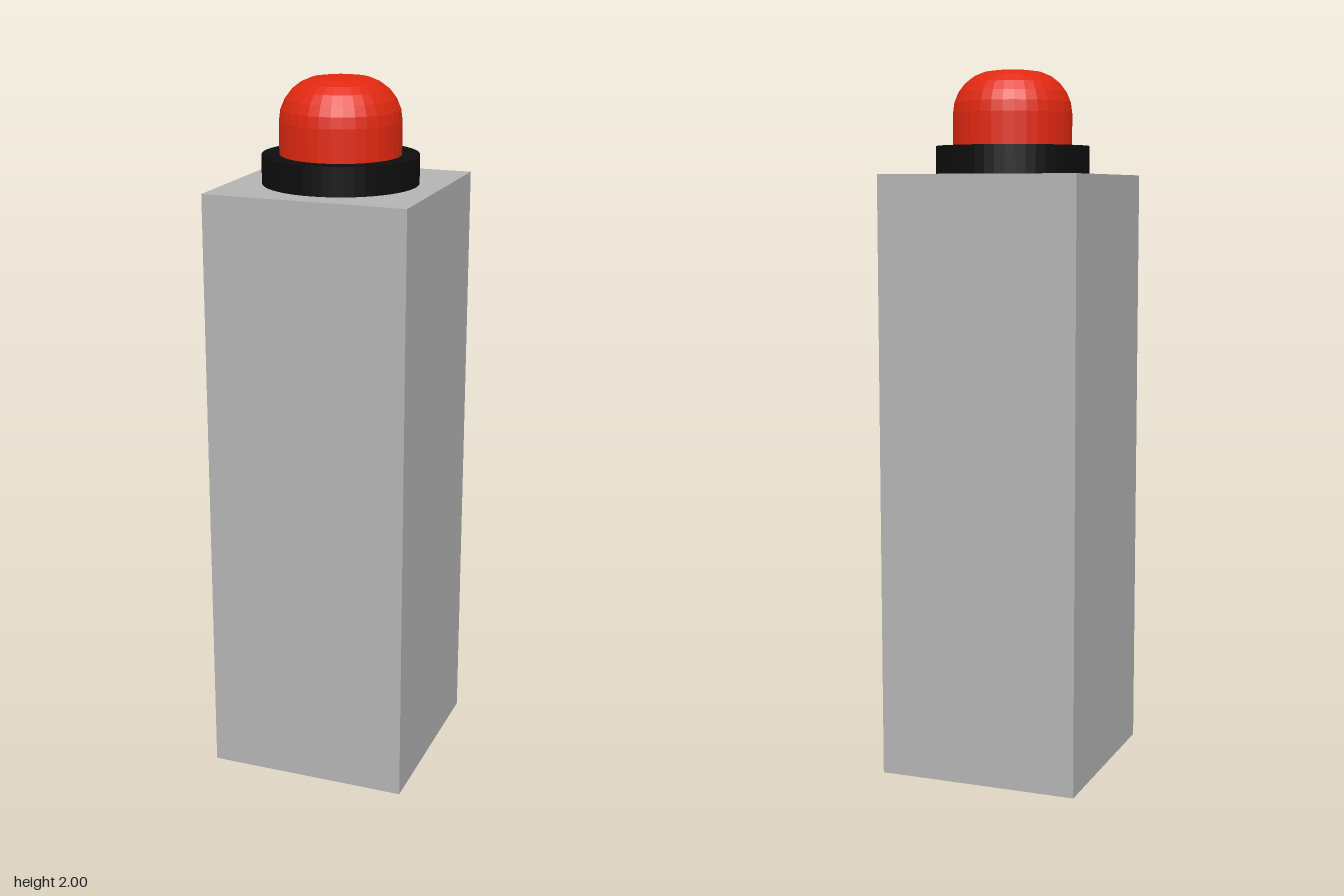
import * as THREE from 'three';

export function createModel() {
  const model = new THREE.Group();
  model.name = 'buttonPedestal';

  const material = (name, color, flatShading = false) => {
    const m = new THREE.MeshStandardMaterial({ color, flatShading });
    m.name = name;
    return m;
  };
  const add = (name, geometry, mat, y = 0) => {
    const mesh = new THREE.Mesh(geometry, mat);
    mesh.name = name;
    mesh.position.y = y;
    model.add(mesh);
  };

  const grey = material('grey', 0xb3b3b3);
  const black = material('black', 0x0d0d0d, true);
  const red = material('red', 0xe02810, true);

  // Square pedestal
  const postHeight = 1.71, postWidth = 0.578;
  add('pedestal', new THREE.BoxGeometry(postWidth, postHeight, postWidth), grey, postHeight / 2);

  // Round collar on top of the pedestal
  const collarHeight = 0.08;
  add('collar', new THREE.CylinderGeometry(0.218, 0.218, collarHeight, 48), black, postHeight + collarHeight / 2);

  // Push button: straight wall, rounded shoulder, small flat top
  const radius = 0.169, fillet = 0.119, top = 2, steps = 6;
  const profile = [new THREE.Vector2(0, 1.78), new THREE.Vector2(radius, 1.78)];
  for (let i = 0; i <= steps; i++) {
    const a = (i / steps) * Math.PI / 2;
    profile.push(new THREE.Vector2(
      radius - fillet + fillet * Math.cos(a),
      top - fillet + fillet * Math.sin(a)
    ));
  }
  profile.push(new THREE.Vector2(0, top));
  add('button', new THREE.LatheGeometry(profile, 32), red);

  return model;
}
